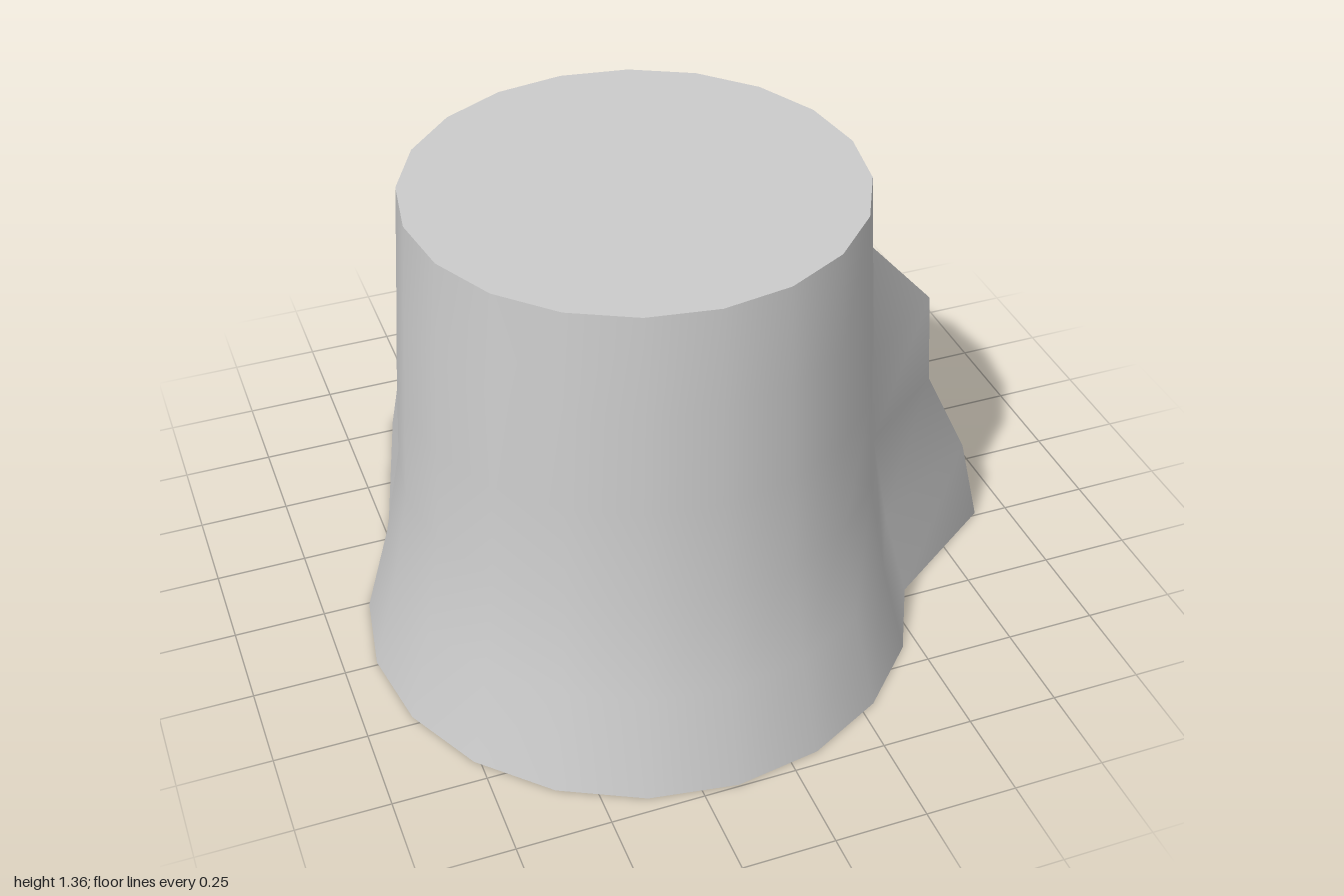
import * as THREE from 'three';

const SIDES = 20;
const CX = -0.155, CZ = 0.24;

// Trunk rings from ground to cut: height, radius, and how far each root pushes out
const RINGS = [
  { y: 0.00, r: 0.755, side: [0.305, 0.305, 0.345], back: [0.52, 0.42] },
  { y: 0.27, r: 0.685, side: [0.31, 0.31, 0.33], back: [0.52, 0.45] },
  { y: 0.545, r: 0.635, side: [0.23, 0.23, 0.23], back: [0.416, 0.416] },
  { y: 0.82, r: 0.62, side: [0.225, 0.225, 0.20], back: [0.33, 0.33] },
  { y: 1.09, r: 0.602, side: [0, 0, 0], back: [0, 0] },
  { y: 1.36, r: 0.585, side: [0, 0, 0], back: [0, 0] },
];
const SIDE_ROOT = [0, 19, 18]; // columns pulled along +x
const BACK_ROOT = [14, 13];    // columns pulled along -z

function ringPoints({ y, r, side, back }) {
  const points = [];
  for (let i = 0; i < SIDES; i++) {
    const a = (i / SIDES) * Math.PI * 2;
    const p = new THREE.Vector3(CX + r * Math.cos(a), y, CZ + r * Math.sin(a));
    const s = SIDE_ROOT.indexOf(i), b = BACK_ROOT.indexOf(i);
    if (s >= 0) p.x += side[s];
    if (b >= 0) p.z -= back[b];
    points.push(p);
  }
  return points;
}

// Smooth bark skin joining the rings
function barkGeometry(rings) {
  const index = [];
  for (let j = 0; j < rings.length - 1; j++) {
    for (let i = 0; i < SIDES; i++) {
      const n = (i + 1) % SIDES;
      const a = j * SIDES + i, b = j * SIDES + n;
      const c = a + SIDES, d = b + SIDES;
      index.push(a, c, b, b, c, d);
    }
  }
  const geometry = new THREE.BufferGeometry().setFromPoints(rings.flat());
  geometry.setIndex(index);
  geometry.computeVertexNormals();
  return geometry;
}

// Flat cap filling one ring; dir is 1 for facing up, -1 for facing down
function capGeometry(ring, dir) {
  const outline = ring.map((p) => new THREE.Vector2(p.x, -dir * p.z));
  const geometry = new THREE.ShapeGeometry(new THREE.Shape(outline));
  geometry.rotateX(-dir * Math.PI / 2);
  geometry.translate(0, ring[0].y, 0);
  return geometry;
}

export function createModel() {
  const group = new THREE.Group();
  group.name = 'treeStump';
  const material = new THREE.MeshStandardMaterial({ color: 0xcccccc });
  const rings = RINGS.map(ringPoints);
  const add = (name, geometry) => {
    const mesh = new THREE.Mesh(geometry, material);
    mesh.name = name;
    group.add(mesh);
  };
  add('barkAndRoots', barkGeometry(rings));
  add('cutTop', capGeometry(rings[rings.length - 1], 1));
  add('underside', capGeometry(rings[0], -1));
  return group;
}
